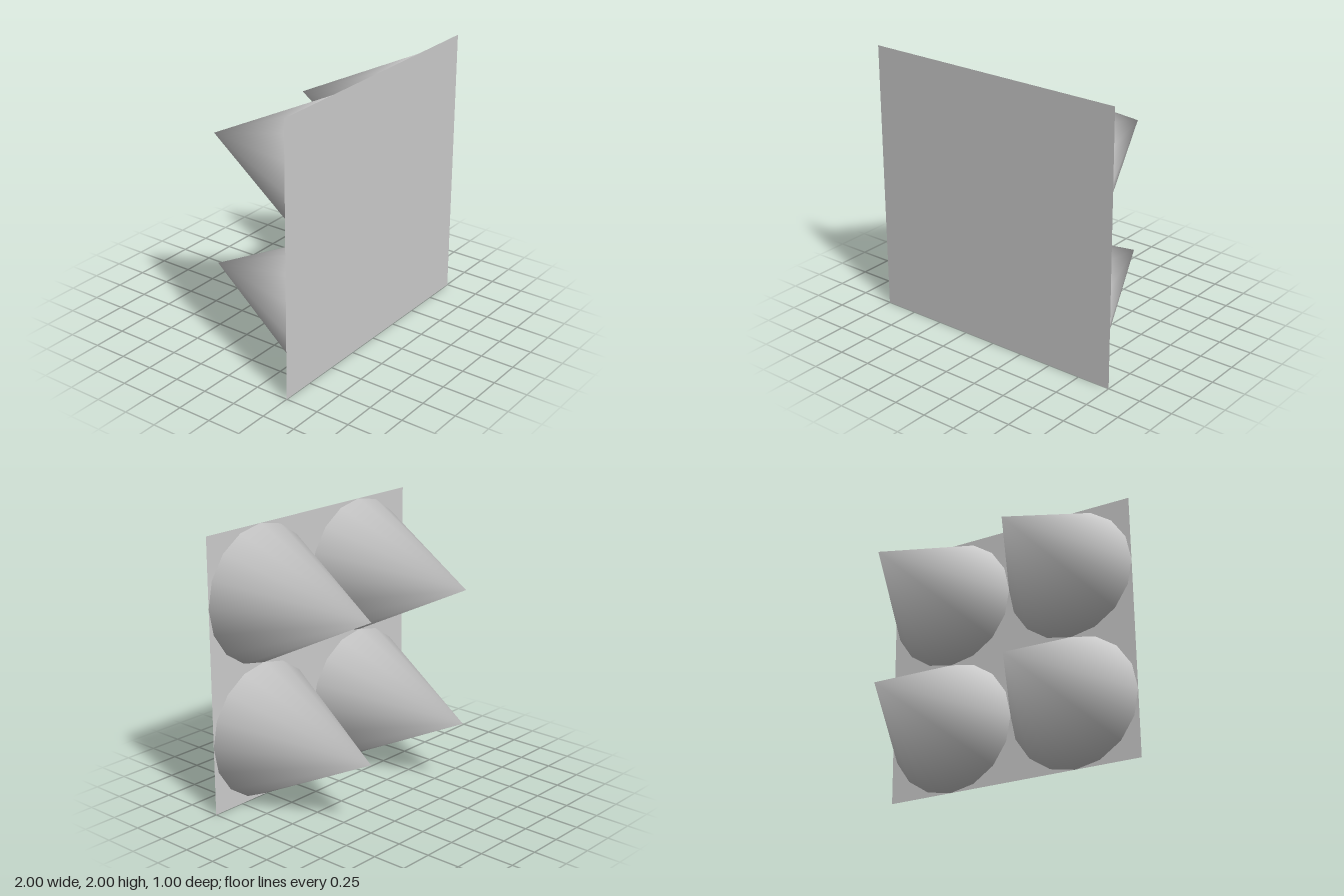
import * as THREE from 'three';

const material = new THREE.MeshStandardMaterial({ color: 0xcccccc, side: THREE.DoubleSide });

// Cone pointing to the back, shaded softly: radial normals at the rim, axial at the tip
function spikeGeometry(radius, length) {
  const geometry = new THREE.ConeGeometry(radius, length, 16, 1, true);
  geometry.rotateX(-Math.PI / 2);
  const position = geometry.attributes.position;
  const normal = geometry.attributes.normal;
  for (let i = 0; i < position.count; i++) {
    const isTip = position.getZ(i) < 0;
    if (isTip) normal.setXYZ(i, 0, 0, -1);
    else normal.setXYZ(i, position.getX(i) / radius, position.getY(i) / radius, 0);
  }
  return geometry;
}

export function createModel() {
  const model = new THREE.Group();
  model.name = 'spikedPanel';

  // Thin square panel at the front, closing the cone bases
  const panel = new THREE.Mesh(new THREE.PlaneGeometry(2, 2), material);
  panel.name = 'panel';
  panel.position.set(0, 1, 0.5);
  model.add(panel);

  // Two by two grid of cones behind the panel
  const geometry = spikeGeometry(0.5, 1);
  for (const [row, y] of [['lower', 0.5], ['upper', 1.5]]) {
    for (const [side, x] of [['Left', 0.5], ['Right', -0.5]]) {
      const cone = new THREE.Mesh(geometry, material);
      cone.name = `${row}${side}Cone`;
      cone.position.set(x, y, 0);
      model.add(cone);
    }
  }
  return model;
}
